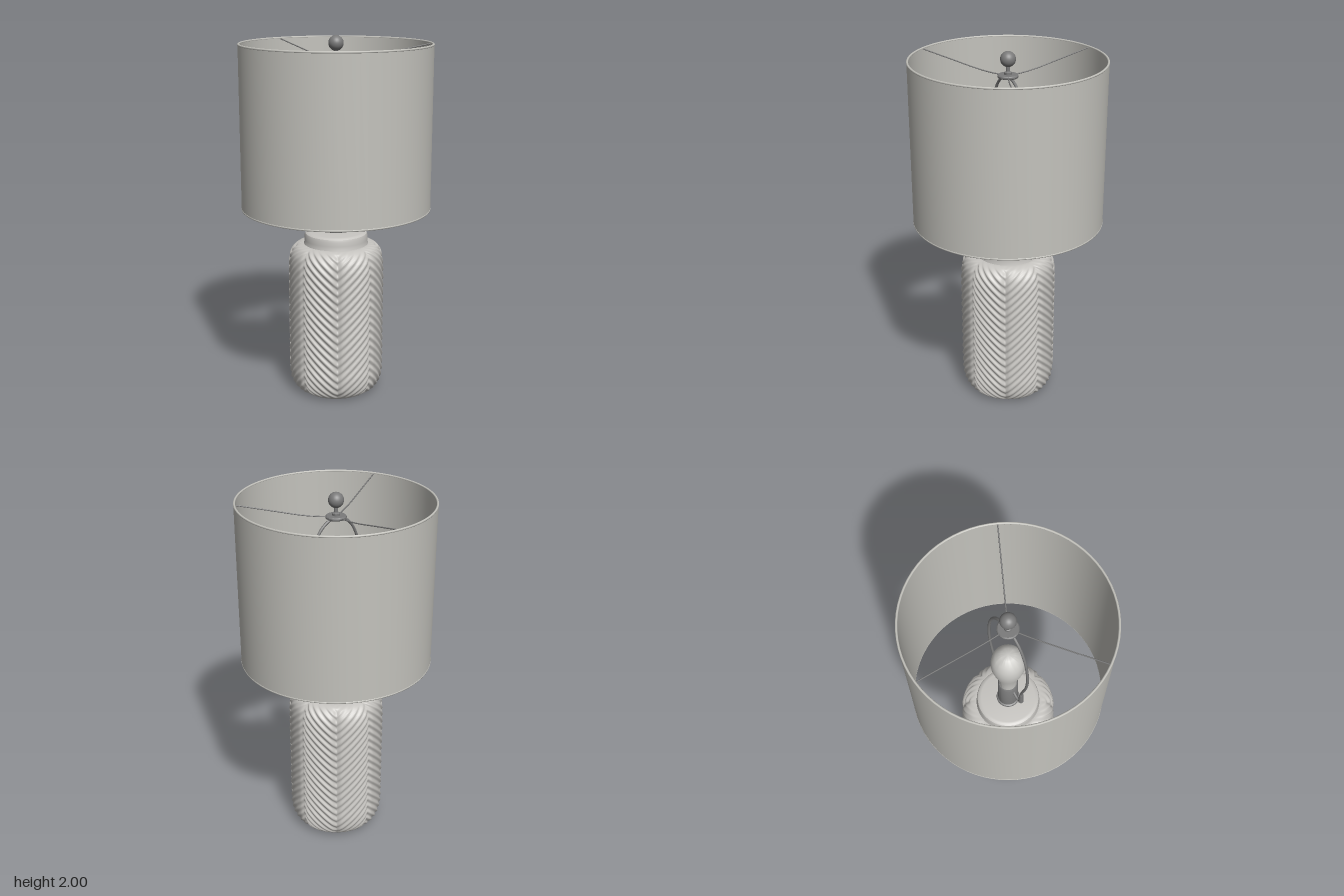
import * as THREE from 'three';
import { mergeVertices, toCreasedNormals } from 'three/addons/utils/BufferGeometryUtils.js';

const mat = (name, color) => Object.assign(new THREE.MeshStandardMaterial({ color }), { name });
const v2 = (p) => new THREE.Vector2(...p);
const v3 = (p) => new THREE.Vector3(...p);

export function createModel() {
  const lamp = new THREE.Group();
  lamp.name = 'tableLamp';
  const linen = mat('linen', 0xc3c2bc);
  const ceramic = mat('ceramic', 0xc6c4c0);
  const metal = mat('metal', 0x7a7a7a);
  const glass = mat('bulbGlass', 0xc9c8c4);

  const add = (name, geometry, material, parent = lamp) => {
    const mesh = new THREE.Mesh(geometry, material);
    mesh.name = name;
    parent.add(mesh);
    return mesh;
  };
  // Turned part from [radius, height] points, listed upwards along the outside
  const turned = (name, points, material, segments = 48) =>
    add(name, toCreasedNormals(new THREE.LatheGeometry(points.map(v2), segments), 0.6), material);
  const wire = (name, points, radius, steps, parent) =>
    add(name, new THREE.TubeGeometry(new THREE.CatmullRomCurve3(points.map(v3), false, 'centripetal'),
      steps, radius, 8), metal, parent);

  // Ceramic body: a rounded jar carved with eight herringbone panels
  const rows = 150;
  const outline = new THREE.CatmullRomCurve3([
    [0.2, 0.005, 0], [0.222, 0.018, 0], [0.25, 0.06, 0], [0.262, 0.12, 0], [0.263, 0.2, 0],
    [0.263, 0.45, 0], [0.263, 0.7, 0], [0.26, 0.77, 0], [0.25, 0.815, 0], [0.225, 0.848, 0],
    [0.195, 0.86, 0], [0.172, 0.862, 0]].map(v3), false, 'centripetal');
  const length = outline.getLength();
  let body = new THREE.LatheGeometry(outline.getSpacedPoints(rows).map((p) => new THREE.Vector2(p.x, p.y)), 240);
  const pos = body.attributes.position;
  for (let i = 0; i < pos.count; i++) {
    const x = pos.getX(i), y = pos.getY(i), z = pos.getZ(i);
    const row = i % (rows + 1);
    const along = row / rows;
    const u = (Math.atan2(x, z) / Math.PI * 180 - 9) / 45;
    const zig = Math.abs((((u % 2) + 2) % 2) - 1);          // 1 on a peak line, 0 on a valley line
    const seam = Math.abs(u - Math.round(u));
    const fade = Math.min(1, along / 0.06, (1 - along) / 0.08);
    const ridge = 0.0045 * Math.sin((along * length - 0.19 * zig) / 0.046 * Math.PI * 2);
    const groove = -0.009 * Math.exp(-((seam / 0.08) ** 2));
    const r = Math.hypot(x, z);
    const k = 1 + fade * (ridge + groove) / r;
    pos.setXYZ(i, x * k, y, z * k);
  }
  body.deleteAttribute('uv');
  body.deleteAttribute('normal');
  body = mergeVertices(body, 1e-5);
  body.computeVertexNormals();
  add('body', body, ceramic);
  turned('foot', [[0, 0], [0.195, 0], [0.202, 0.006]], ceramic);
  turned('collar', [[0.182, 0.85], [0.177, 0.868], [0.175, 0.885], [0.175, 0.908], [0.171, 0.921],
    [0.162, 0.928], [0.15, 0.93], [0, 0.93]], ceramic, 64);

  // Metal neck and socket
  turned('neckRing', [[0.055, 0.928], [0.062, 0.931], [0.064, 0.938], [0.062, 0.946], [0.055, 0.95]], metal);
  turned('socket', [[0.055, 0.93], [0.055, 1.15], [0.05, 1.16], [0, 1.16]], metal);

  // Bulb
  turned('bulb', [[0.046, 1.155], [0.048, 1.2], [0.058, 1.27], [0.076, 1.34], [0.088, 1.4], [0.09, 1.44],
    [0.084, 1.485], [0.066, 1.52], [0.036, 1.545], [0, 1.55]], glass);

  // Harp: a wire arch around the bulb with sleeves and hooks at the foot
  const harp = new THREE.Group();
  harp.name = 'harp';
  lamp.add(harp);
  for (const s of [-1, 1]) {
    wire('harpWire', [[0, 1.862], [0.045, 1.855], [0.1, 1.81], [0.145, 1.71], [0.166, 1.57], [0.16, 1.43],
      [0.135, 1.31], [0.12, 1.23], [0.12, 1.13], [0.108, 1.1], [0.085, 1.097], [0.045, 1.12]]
      .map(([x, y]) => [s * x, y, 0]), 0.0075, 60, harp);
    add('harpSleeve', new THREE.CylinderGeometry(0.011, 0.015, 0.1, 16), metal, harp)
      .position.set(s * 0.12, 1.185, 0);
  }

  // Shade with thin rolled rims
  turned('shade', [[0.51, 1.068], [0.519, 1.068], [0.519, 1.957], [0.51, 1.957], [0.51, 1.068]], linen, 72);
  for (const y of [1.07, 1.955]) {
    const rim = add('shadeRim', new THREE.TorusGeometry(0.515, 0.006, 8, 72), linen);
    rim.rotation.x = Math.PI / 2;
    rim.position.y = y;
  }

  // Three spokes dropping from the upper rim to the hub
  for (let i = 0; i < 3; i++) {
    const spoke = wire('spoke', [[0, 1.872, -0.03], [0, 1.876, -0.1], [0, 1.886, -0.18], [0, 1.915, -0.33],
      [0, 1.95, -0.512]], 0.0035, 20);
    spoke.rotation.y = i * Math.PI * 2 / 3;
  }

  // Hub and finial
  turned('hub', [[0, 1.862], [0.05, 1.862], [0.055, 1.867], [0.055, 1.874], [0.05, 1.879], [0, 1.879]], metal);
  turned('finialStem', [[0.02, 1.878], [0.02, 1.89], [0.011, 1.896], [0.011, 1.925], [0.018, 1.93]], metal, 24);
  add('finialBall', new THREE.SphereGeometry(0.041, 32, 20), metal).position.y = 1.959;

  return lamp;
}
